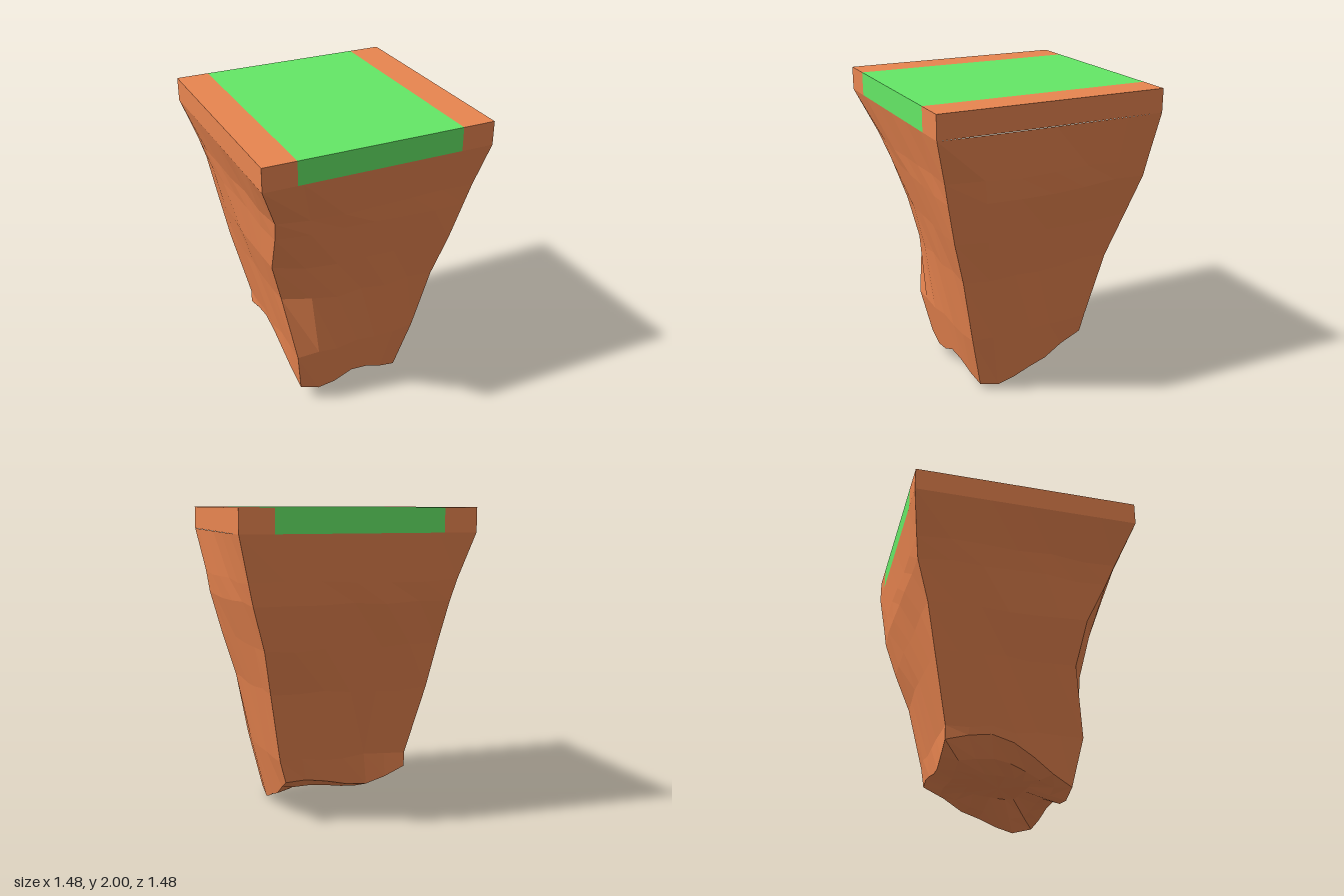
import * as THREE from 'three';

const SIDE = 6; // segments along each side of the four-cornered plan

// Wall levels: corners (front right, front left, back left, back right)
// and how far the front, left, back and right walls swell between them
const LEVELS = [
  { y: 0.0, corners: [[-0.36, 0.34], [0.35, 0.31], [0.36, -0.41], [-0.4, -0.44]], bow: [0.02, 0.01, 0, 0] },
  { y: 0.2, corners: [[-0.385, 0.38], [0.4, 0.37], [0.36, -0.41], [-0.41, -0.44]], bow: [0.01, 0.01, 0, 0] },
  { y: 0.42, corners: [[-0.42, 0.43], [0.44, 0.41], [0.42, -0.43], [-0.41, -0.44]], bow: [0.01, 0.02, 0.01, 0] },
  { y: 0.87, corners: [[-0.5, 0.37], [0.51, 0.5], [0.5, -0.52], [-0.51, -0.54]], bow: [0.07, 0.03, 0.01, 0] },
  { y: 1.16, corners: [[-0.58, 0.43], [0.575, 0.58], [0.56, -0.62], [-0.56, -0.6]], bow: [0.06, 0.05, 0.01, 0.01] },
  { y: 1.43, corners: [[-0.605, 0.56], [0.63, 0.64], [0.64, -0.69], [-0.6, -0.68]], bow: [0.04, 0.06, 0.01, 0.02] },
  { y: 1.57, corners: [[-0.625, 0.62], [0.66, 0.67], [0.67, -0.705], [-0.64, -0.7]], bow: [0.02, 0.05, 0.01, 0.02] },
  { y: 1.85, corners: [[-0.74, 0.74], [0.73, 0.74], [0.73, -0.74], [-0.74, -0.74]], bow: [0, 0.01, 0, 0] },
];
const OUTWARD = [[0, 1], [1, 0], [0, -1], [-1, 0]];

// Ragged lower edge, running along the front, left, back and right walls
const EDGE = [
  0.11, 0.065, 0.08, 0.14, 0.125, 0.07,
  0.04, 0.005, 0.04, 0.09, 0.13, 0.21,
  0.28, 0.29, 0.27, 0.24, 0.23, 0.27,
  0.33, 0.37, 0.39, 0.35, 0.27, 0.18,
];
const COUNT = EDGE.length;
const { lerp } = THREE.MathUtils;

function seeded(seed) {
  return () => {
    seed = (seed * 16807) % 2147483647;
    return seed / 2147483647 - 0.5;
  };
}

// Point i along the wall of one level; the swell peaks near each wall's start
function levelPoint(level, i) {
  const side = Math.floor(i / SIDE);
  const t = (i % SIDE) / SIDE;
  const a = level.corners[side], b = level.corners[(side + 1) % 4];
  const swell = level.bow[side] * Math.sin(Math.PI * Math.sqrt(t));
  return [0, 1].map((k) => lerp(a[k], b[k], t) + OUTWARD[side][k] * swell);
}

// Point i along the wall at any height
function wallPoint(i, y) {
  let n = 0;
  while (n < LEVELS.length - 2 && y > LEVELS[n + 1].y) n++;
  const low = LEVELS[n], high = LEVELS[n + 1];
  const t = (y - low.y) / (high.y - low.y);
  const p = levelPoint(low, i), q = levelPoint(high, i);
  return [lerp(p[0], q[0], t), y, lerp(p[1], q[1], t)];
}

function rockGeometry() {
  const rand = seeded(77);
  const rows = [];

  // Wall rows from the slab down to the ragged edge
  for (const h of [1.85, 1.57, 1.43, 1.16, 0.87, 0.42, 0]) {
    rows.push(EDGE.map((edge, i) => {
      const p = wallPoint(i, h ? Math.max(h, edge + 0.05) : edge);
      if (h > 0 && h < 1.85 && i % SIDE) {
        p[0] += rand() * 0.008;
        p[1] += rand() * 0.03;
        p[2] += rand() * 0.008;
      }
      return p;
    }));
  }

  // Underside rows: inner faces of the teeth, then a low shallow belly
  const rim = rows[rows.length - 1];
  for (const [scale, height, lift] of [[0.76, 0.15, 0.5], [0.45, 0.19, 0.9], [0, 0.19, 1]]) {
    rows.push(rim.map(([x, y, z]) => [x * scale, lerp(y, height, lift), z * scale]));
  }

  const index = [];
  for (let r = 0; r < rows.length - 1; r++) {
    for (let i = 0; i < COUNT; i++) {
      const a = r * COUNT + i, b = r * COUNT + ((i + 1) % COUNT);
      index.push(a, a + COUNT, b + COUNT, a, b + COUNT, b);
    }
  }
  const geometry = new THREE.BufferGeometry();
  geometry.setAttribute('position', new THREE.Float32BufferAttribute(rows.flat(2), 3));
  geometry.setIndex(index);
  geometry.computeVertexNormals();
  return geometry;
}

export function createModel() {
  const group = new THREE.Group();
  group.name = 'floatingIsland';
  const earth = new THREE.MeshStandardMaterial({ color: 0xe98550, flatShading: true });
  const grass = new THREE.MeshStandardMaterial({ color: 0x64e766, flatShading: true });

  // Slab of three strips: earth, grass, earth
  const strips = [
    ['earthStripRight', -0.74, -0.53, earth],
    ['grassStrip', -0.53, 0.52, grass],
    ['earthStripLeft', 0.52, 0.73, earth],
  ];
  for (const [name, x0, x1, material] of strips) {
    const strip = new THREE.Mesh(new THREE.BoxGeometry(x1 - x0, 0.15, 1.48), material);
    strip.name = name;
    strip.position.set((x0 + x1) / 2, 1.925, 0);
    group.add(strip);
  }

  // Tapering rock below
  const rock = new THREE.Mesh(rockGeometry(), earth);
  rock.name = 'rockBase';
  group.add(rock);
  return group;
}
